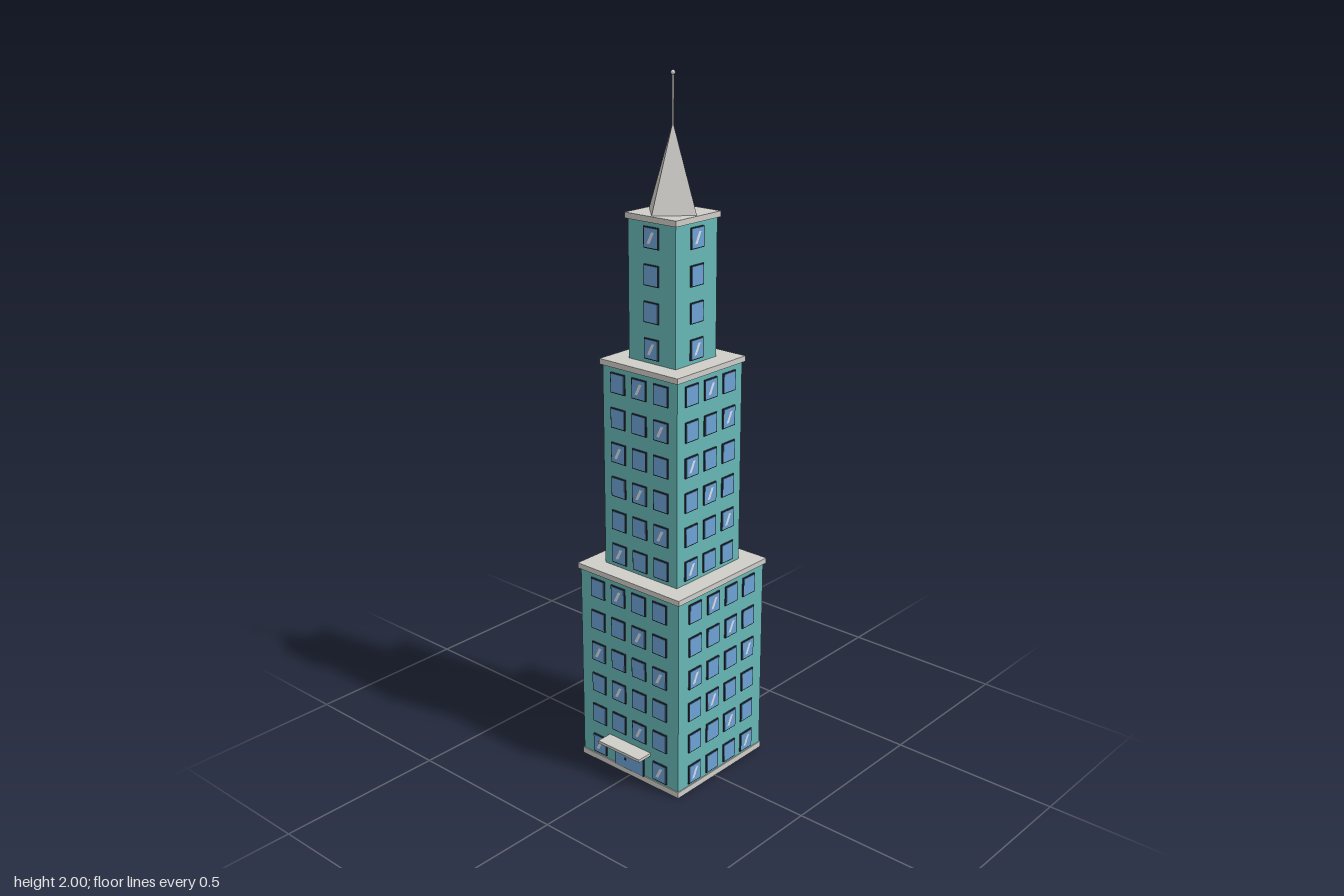
import * as THREE from 'three';

const material = (name, color) => {
  const m = new THREE.MeshStandardMaterial({ color });
  m.name = name;
  return m;
};

export function createModel() {
  const wall = material('teal wall', 0x66b8b5);
  const stone = material('pale stone', 0xcfcdc8);
  const glass = material('blue glass', 0x6da3d4);
  const dark = material('dark frame', 0x2a3040);
  const shine = material('glass glint', 0xdde3ea);

  const model = new THREE.Group();
  model.name = 'tower';
  // the tower stands slightly back to leave room for the canopy
  const tower = new THREE.Group();
  tower.name = 'towerBody';
  tower.position.z = -0.023;
  model.add(tower);

  const add = (parent, name, geometry, mat, x, y, z) => {
    const mesh = new THREE.Mesh(geometry, mat);
    mesh.name = name;
    mesh.position.set(x, y, z);
    parent.add(mesh);
    return mesh;
  };
  const box = (parent, name, mat, w, h, d, x, y, z) =>
    add(parent, name, new THREE.BoxGeometry(w, h, d), mat, x, y, z);

  // shared window pieces
  const frameGeo = new THREE.BoxGeometry(0.052, 0.058, 0.004);
  const paneGeo = new THREE.BoxGeometry(0.046, 0.052, 0.002);
  const glintGeo = new THREE.ShapeGeometry(new THREE.Shape([
    new THREE.Vector2(-0.013, -0.016), new THREE.Vector2(-0.003, -0.016),
    new THREE.Vector2(0.013, 0.016), new THREE.Vector2(0.003, 0.016),
  ]));

  const addWindow = (side, x, y, z, glint) => {
    const win = new THREE.Group();
    win.name = 'window';
    win.position.set(x, y, z);
    add(win, 'windowFrame', frameGeo, dark, 0, 0, 0.002);
    add(win, 'windowPane', paneGeo, glass, 0, 0, 0.004);
    if (glint) add(win, 'windowGlint', glintGeo, shine, 0, 0, 0.0056);
    side.add(win);
  };

  // three stepped tiers, each with a roof slab and windows on four sides
  const floorHeight = 0.1013;
  const tiers = [
    { half: 0.185, bottom: 0, top: 0.607, floors: 6, columns: 4 },
    { half: 0.135, bottom: 0.622, top: 1.215, floors: 6, columns: 3 },
    { half: 0.084, bottom: 1.23, top: 1.617, floors: 4, columns: 1 },
  ];
  let firstFloor = 0;
  tiers.forEach(({ half, bottom, top, floors, columns }, t) => {
    box(tower, 'tierWalls', wall, half * 2, top - bottom, half * 2, 0, (top + bottom) / 2, 0);
    const slab = (half + 0.0065) * 2;
    box(tower, 'roofSlab', stone, slab, 0.016, slab, 0, top + 0.008, 0);
    for (let s = 0; s < 4; s++) {
      const side = new THREE.Group();
      side.name = 'windowSide';
      side.rotation.y = s * Math.PI / 2;
      tower.add(side);
      for (let f = 0; f < floors; f++) {
        for (let c = 0; c < columns; c++) {
          const floor = firstFloor + f;
          // the front door takes the place of the two middle windows
          if (t === 0 && s === 0 && f === 0 && (c === 1 || c === 2)) continue;
          addWindow(side, (c - (columns - 1) / 2) * 0.078, 0.056 + floor * floorHeight,
            half, (floor + c) % 3 === 0);
        }
      }
    }
    firstFloor += floors;
  });

  // plinth around the foot
  box(tower, 'plinth', stone, 0.376, 0.018, 0.376, 0, 0.0105, 0);

  // entrance
  box(tower, 'doorFrame', dark, 0.114, 0.078, 0.005, 0, 0.057, 0.1872);
  box(tower, 'door', glass, 0.108, 0.074, 0.003, 0, 0.057, 0.1892);
  box(tower, 'doorHandle', dark, 0.005, 0.007, 0.003, -0.014, 0.05, 0.1915);
  box(tower, 'canopy', stone, 0.16, 0.009, 0.05, 0, 0.1, 0.209);

  // diamond spire, mast and ball
  const spire = new THREE.ConeGeometry(0.084, 0.235, 4).toNonIndexed();
  spire.computeVertexNormals();
  add(tower, 'spire', spire, stone, 0, 1.633 + 0.1175, 0);
  add(tower, 'mast', new THREE.CylinderGeometry(0.0028, 0.0028, 0.15, 8), stone, 0, 1.918, 0);
  add(tower, 'mastBall', new THREE.SphereGeometry(0.0065, 12, 8), stone, 0, 1.9935, 0);

  return model;
}
